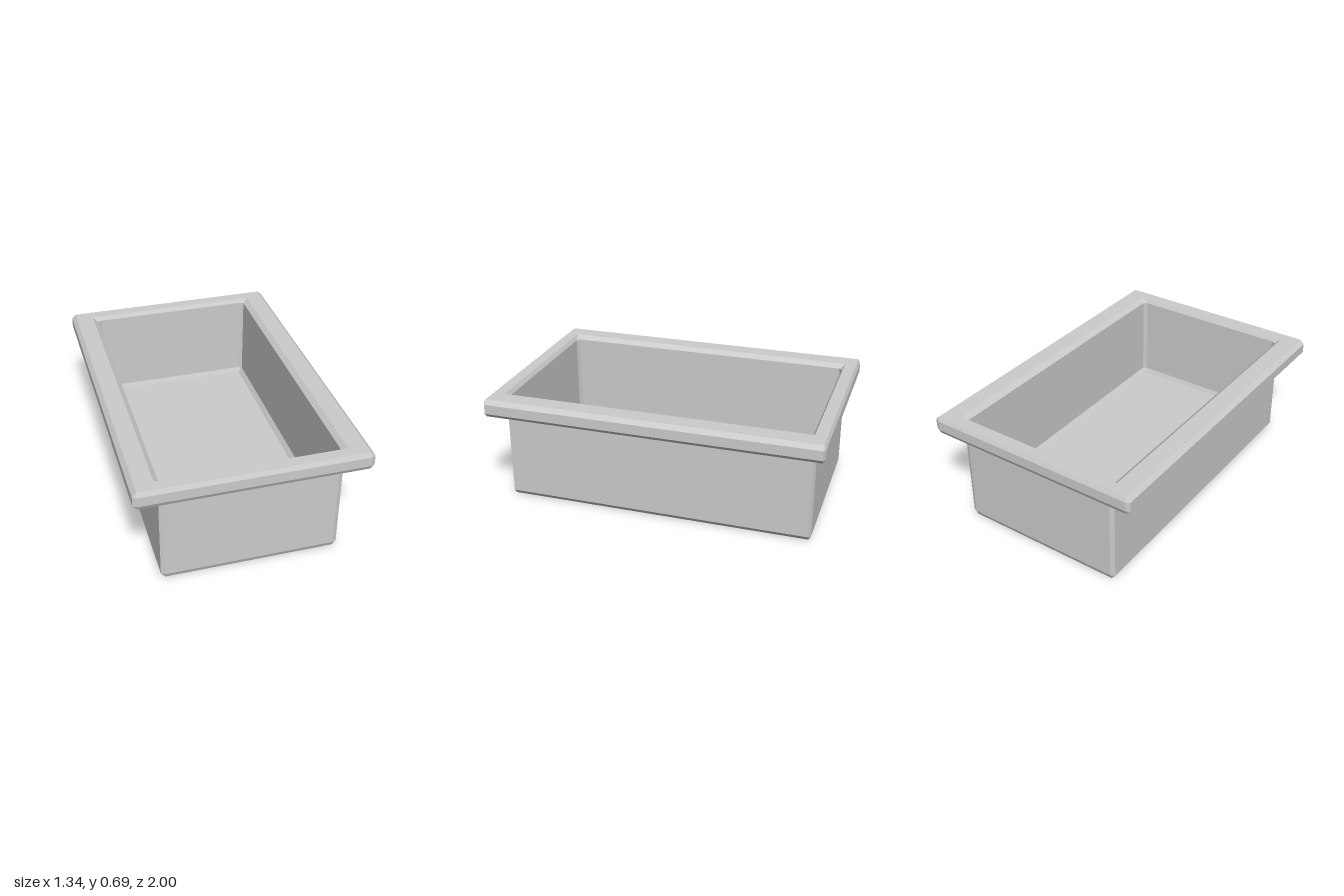
import * as THREE from 'three';

// Rectangular ring at height y: core half-sizes a (x) and b (z), pushed out by
// ox and oz so that its corners become chamfers (a sharp corner when both are 0).
function ring(y, a, b, ox = 0, oz = 0) {
  const pts = [];
  for (const [sx, sz] of [[1, 1], [-1, 1], [-1, -1], [1, -1]]) {
    const side = new THREE.Vector3(sx * (a + ox), y, sz * b);
    const end = new THREE.Vector3(sx * a, y, sz * (b + oz));
    pts.push(...(sx * sz > 0 ? [side, end] : [end, side]));
  }
  return pts;
}

// Flat-shaded skin through a list of rings, optionally closed at either end
function loft(name, rings, capStart, capEnd) {
  const pos = [];
  const tri = (a, b, c) => {
    const area = b.clone().sub(a).cross(c.clone().sub(a)).length();
    if (area > 1e-9) for (const p of [a, b, c]) pos.push(p.x, p.y, p.z);
  };
  for (let r = 0; r < rings.length - 1; r++) {
    const lo = rings[r], hi = rings[r + 1], n = lo.length;
    for (let i = 0; i < n; i++) {
      const j = (i + 1) % n;
      tri(lo[i], hi[i], lo[j]);
      tri(lo[j], hi[i], hi[j]);
    }
  }
  const first = rings[0], last = rings[rings.length - 1];
  for (let i = 1; i < first.length - 1; i++) {
    if (capStart) tri(first[0], first[i], first[i + 1]);
    if (capEnd) tri(last[0], last[i + 1], last[i]);
  }
  const geo = new THREE.BufferGeometry();
  geo.setAttribute('position', new THREE.Float32BufferAttribute(pos, 3));
  geo.computeVertexNormals();
  const mesh = new THREE.Mesh(geo, new THREE.MeshStandardMaterial({ color: 0xcccccc, flatShading: true }));
  mesh.name = name;
  return mesh;
}

export function createModel() {
  const group = new THREE.Group();
  group.name = 'rectangularTub';
  const ox = 0.025, oz = 0.013; // bevel widths

  const bodyTop = ring(0.53, 0.495, 0.917, ox, oz);
  const innerEdge = ring(0.685, 0.54, 0.918);

  // Outer walls with bevelled base
  group.add(loft('outerBody', [
    ring(0, 0.495, 0.917),
    ring(0.03, 0.495, 0.917, ox, oz),
    bodyTop,
  ], true, false));

  // Flared underside, bevelled lip and flat top border
  group.add(loft('rim', [
    bodyTop,
    ring(0.56, 0.545, 0.943),
    ring(0.576, 0.645, 0.987),
    ring(0.602, 0.645, 0.987, ox, oz),
    ring(0.66, 0.645, 0.987, ox, oz),
    ring(0.685, 0.645, 0.987),
    innerEdge,
  ], false, false));

  // Inside walls down to the raised floor
  group.add(loft('basin', [
    innerEdge,
    ring(0.66, 0.485, 0.89, ox, oz),
    ring(0.138, 0.485, 0.89, ox, oz),
    ring(0.108, 0.485, 0.89),
  ], false, true));

  return group;
}
